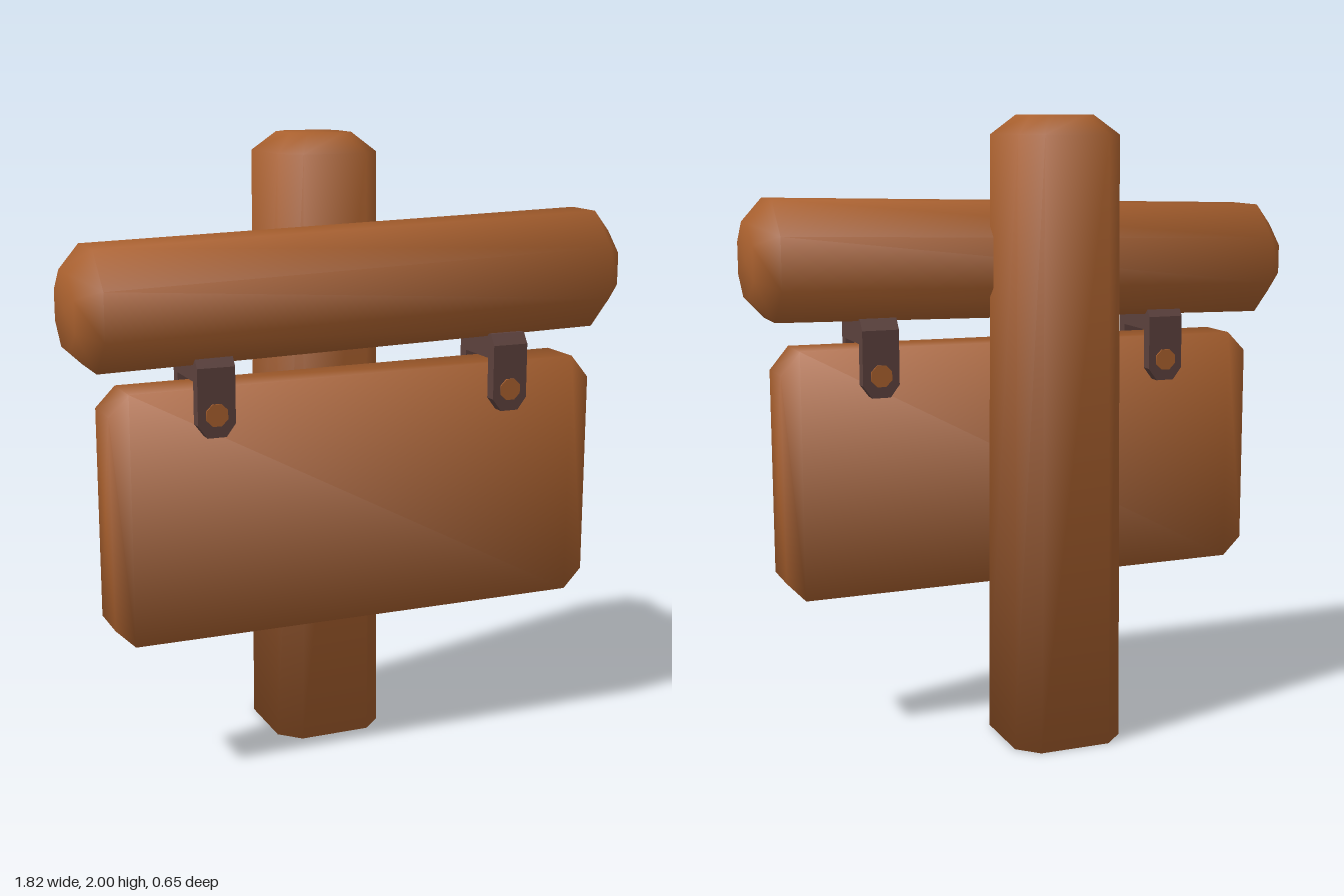
import * as THREE from 'three';

const wood = new THREE.MeshStandardMaterial({ color: 0xa9602e });
wood.name = 'wood';
const metal = new THREE.MeshStandardMaterial({ color: 0x5c413d });
metal.name = 'dark metal';

// Rectangle with corners cut by c, counter-clockwise; u and v are [low, high]
function section([u0, u1], [v0, v1], c) {
  if (!c) return [[u1, v0], [u1, v1], [u0, v1], [u0, v0]];
  return [[u1, v0 + c], [u1, v1 - c], [u1 - c, v1], [u0 + c, v1],
    [u0, v1 - c], [u0, v0 + c], [u0 + c, v0], [u1 - c, v0]];
}

// Smooth normals weighted by corner angle, so every face counts equally
function smoothNormals(geo) {
  const p = geo.attributes.position, idx = geo.index.array;
  const point = i => new THREE.Vector3().fromBufferAttribute(p, i);
  const sums = Array.from({ length: p.count }, () => new THREE.Vector3());
  for (let t = 0; t < idx.length; t += 3) {
    const tri = [idx[t], idx[t + 1], idx[t + 2]];
    for (let k = 0; k < 3; k++) {
      const o = point(tri[k]);
      const a = point(tri[(k + 1) % 3]).sub(o), b = point(tri[(k + 2) % 3]).sub(o);
      const angle = a.angleTo(b);
      sums[tri[k]].addScaledVector(a.cross(b).normalize(), angle);
    }
  }
  const flat = sums.flatMap(n => n.normalize().toArray());
  geo.setAttribute('normal', new THREE.Float32BufferAttribute(flat, 3));
  return geo;
}

// Closed solid through rings [w, u range, v range, corner cut]; place maps u,v,w to x,y,z
function loft(rings, place) {
  const pos = [], idx = [];
  let n = 0;
  for (const [w, u, v, c] of rings) {
    const pts = section(u, v, c);
    n = pts.length;
    pts.forEach(([a, b]) => pos.push(...place(a, b, w)));
  }
  const last = (rings.length - 1) * n, capA = rings.length * n, capB = capA + 1;
  for (const [w, u, v] of [rings[0], rings[rings.length - 1]]) {
    pos.push(...place((u[0] + u[1]) / 2, (v[0] + v[1]) / 2, w));
  }
  for (let i = 0; i < n; i++) {
    const j = (i + 1) % n;
    for (let r = 0; r < last; r += n) {
      idx.push(r + i, r + j, r + n + j, r + i, r + n + j, r + n + i);
    }
    idx.push(capA, j, i, capB, last + i, last + j);
  }
  const geo = new THREE.BufferGeometry();
  geo.setAttribute('position', new THREE.Float32BufferAttribute(pos, 3));
  geo.setIndex(idx);
  return smoothNormals(geo);
}

const upright = (u, v, w) => [v, w, u];
const sideways = (u, v, w) => [w, u, v];

function add(parent, name, geo, material, x = 0, y = 0, z = 0) {
  const mesh = new THREE.Mesh(geo, material);
  mesh.name = name;
  mesh.position.set(x, y, z);
  parent.add(mesh);
  return mesh;
}

function extrude(points, depth) {
  const shape = new THREE.Shape(points.map(([x, y]) => new THREE.Vector2(x, y)));
  return new THREE.ExtrudeGeometry(shape, { depth, bevelEnabled: false });
}

// Eight-sided disc facing z
function disc(radius, depth) {
  const geo = new THREE.CylinderGeometry(radius, radius, depth, 8);
  return geo.rotateY(Math.PI / 8).rotateX(Math.PI / 2);
}

// Strap over the board's top edge with a bolt on each side
function hanger(x) {
  const group = new THREE.Group();
  group.name = 'hanger';
  group.position.x = x;
  const leg = extrude([[-0.06, 1.16], [-0.03, 1.12], [0.03, 1.12], [0.06, 1.16],
    [0.06, 1.3], [-0.06, 1.3]], 0.04);
  add(group, 'frontStrap', leg, metal, 0, 0, 0.21);
  add(group, 'backStrap', leg, metal, 0, 0, 0.015);
  const bridge = extrude([[-0.25, 1.29], [-0.015, 1.29], [-0.015, 1.335],
    [-0.04, 1.37], [-0.225, 1.37], [-0.25, 1.335]], 0.12);
  bridge.rotateY(Math.PI / 2);
  add(group, 'topStrap', bridge, metal, -0.06);
  for (const z of [0.25, 0.015]) add(group, 'bolt', disc(0.037, 0.01), wood, 0, 1.19, z);
  return group;
}

export function createModel() {
  const model = new THREE.Group();
  model.name = 'signpost';

  // Post, slightly narrower at the top, with a bevelled crown
  add(model, 'post', loft([
    [0, [-0.325, 0.042], [-0.197, 0.168], 0.065],
    [1.94, [-0.322, 0.042], [-0.182, 0.154], 0.063],
    [2, [-0.245, -0.03], [-0.12, 0.09], 0.045],
  ], upright), wood);

  // Slightly tilted crossbar with bevelled ends
  add(model, 'crossbar', loft([
    [-0.91, [1.4, 1.63], [0.01, 0.25], 0.068],
    [-0.84, [1.335, 1.7], [-0.063, 0.322], 0.108],
    [0.835, [1.368, 1.746], [-0.048, 0.305], 0.106],
    [0.907, [1.44, 1.675], [0.02, 0.235], 0.066],
  ], sideways), wood);

  // Hanging board with clipped corners
  const thick = [0.055, 0.21];
  add(model, 'board', loft([
    [-0.808, [0.535, 1.2], thick, 0],
    [-0.745, [0.473, 1.265], thick, 0],
    [0.76, [0.47, 1.275], thick, 0],
    [0.822, [0.535, 1.2], thick, 0],
  ], sideways), wood);

  // Hangers
  for (const x of [-0.485, 0.51]) model.add(hanger(x));

  // Metal plates between the post and the board and crossbar
  add(model, 'boardPlate', disc(0.15, 0.03), metal, -0.015, 0.655, 0.043);
  add(model, 'crossbarPlate', disc(0.15, 0.03), metal, -0.015, 1.53, 0);

  return model;
}
